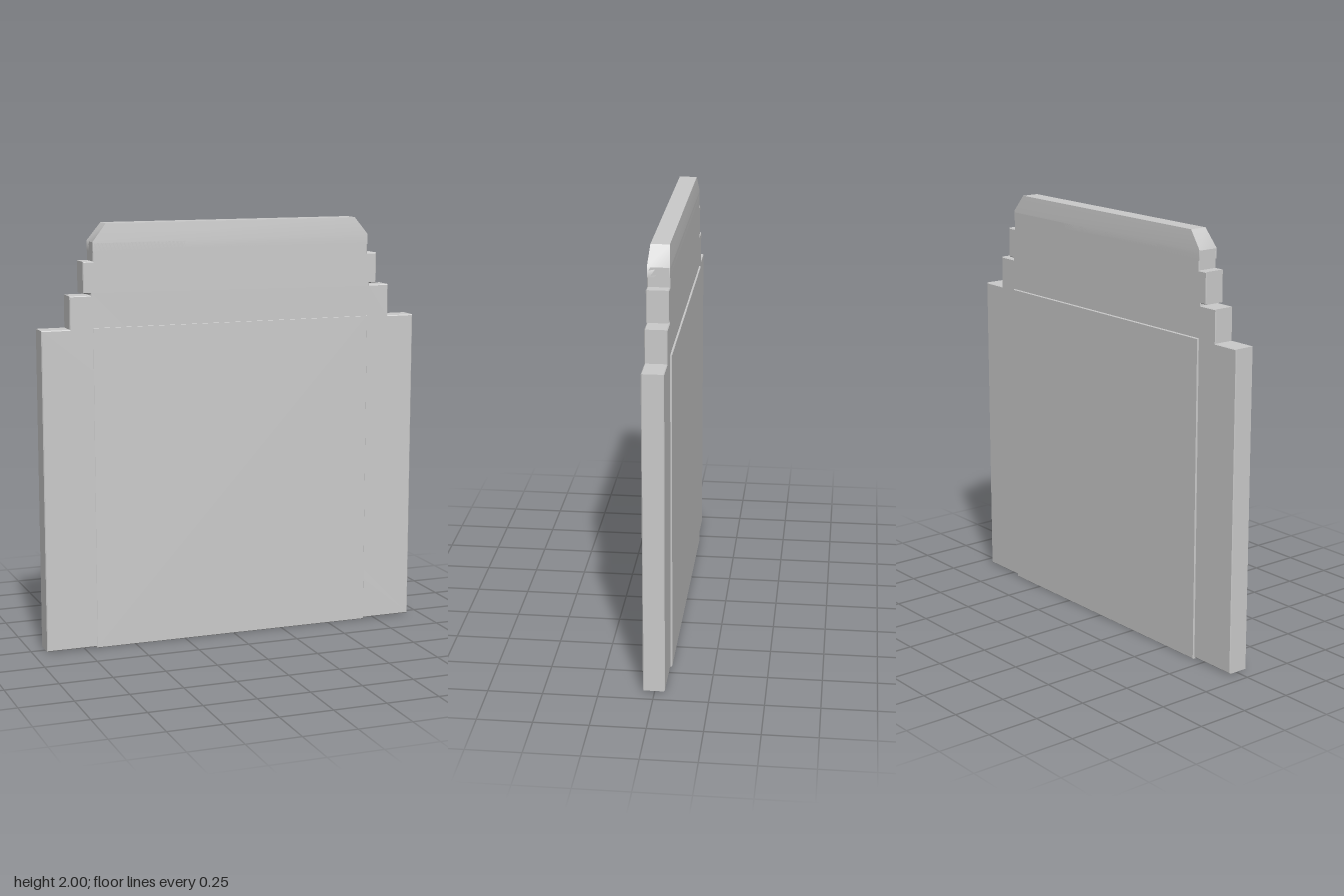
import * as THREE from 'three';

const material = new THREE.MeshStandardMaterial({ color: 0xcccccc });

// Extrude an outline between two z planes, with a fine chamfer on its edges
function slab(name, points, zBack, zFront, bevel) {
  const shape = new THREE.Shape(points.map(([x, y]) => new THREE.Vector2(x, y)));
  const geometry = new THREE.ExtrudeGeometry(shape, {
    depth: zFront - zBack - 2 * bevel,
    bevelEnabled: true,
    bevelThickness: bevel,
    bevelSize: bevel,
    bevelOffset: -bevel,
    bevelSegments: 1,
  });
  geometry.translate(0, 0, zBack + bevel);
  const mesh = new THREE.Mesh(geometry, material);
  mesh.name = name;
  return mesh;
}

export function createModel() {
  const model = new THREE.Group();
  model.name = 'steppedPanel';
  const back = -0.047, front = 0.053;

  // Stepped body: right half of the outline, mirrored to the left
  const half = [
    [0.935, 0.006], [0.935, 1.52], [0.8, 1.52], [0.8, 1.673],
    [0.7, 1.673], [0.7, 1.682], [0.735, 1.682], [0.735, 1.828],
    [0.687, 1.828], [0.687, 1.915],
  ];
  const mirrored = half.map(([x, y]) => [-x, y]).reverse();
  model.add(slab('steppedBody', [...half, ...mirrored], back, front, 0.004));

  // Centre panel, standing proud at the back and almost flush at the front
  const w = 0.692, h = 1.525;
  model.add(slab('centrePanel', [[-w, 0], [w, 0], [w, h], [-w, h]], -0.055, 0.054, 0.003));

  // Crown: a box with chamfered ends whose faces lean in towards the top
  const rows = [
    { y: 1.87, x: 0.687, back, front },
    { y: 1.918, x: 0.687, back, front },
    { y: 2.0, x: 0.622, back: -0.039, front: 0.045 },
  ];
  const geometry = new THREE.BoxGeometry(2, 2, 2, 1, 2, 1);
  const p = geometry.attributes.position;
  for (let i = 0; i < p.count; i++) {
    const row = rows[Math.round(p.getY(i)) + 1];
    p.setXYZ(i, p.getX(i) * row.x, row.y, p.getZ(i) > 0 ? row.front : row.back);
  }
  geometry.computeVertexNormals();
  const crown = new THREE.Mesh(geometry, material);
  crown.name = 'crown';
  model.add(crown);

  return model;
}
